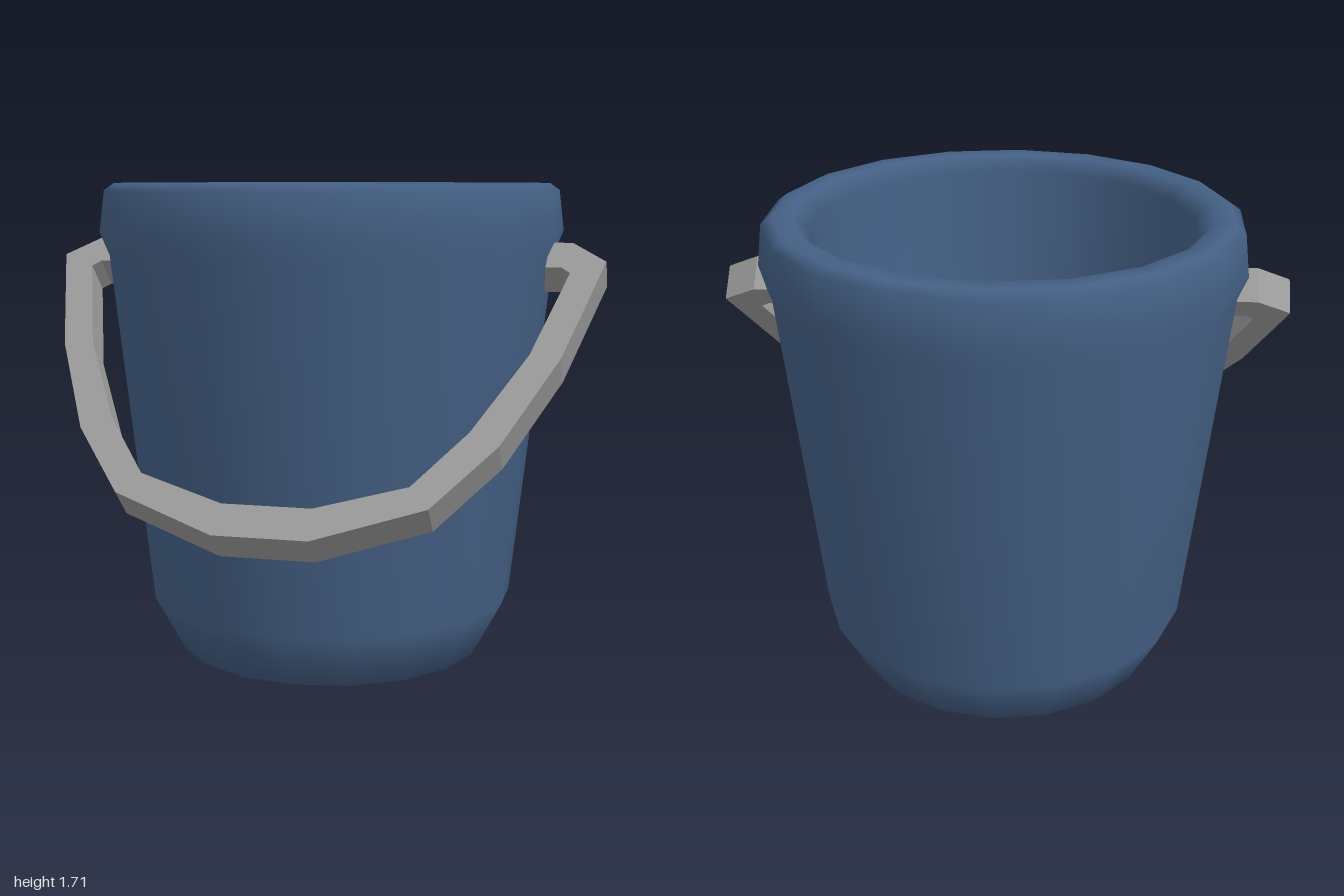
import * as THREE from 'three';

export function createModel() {
  const group = new THREE.Group();
  const blue = new THREE.MeshStandardMaterial({ color: 0x446085 });
  blue.name = 'bucketBlue';
  const grey = new THREE.MeshStandardMaterial({ color: 0x9a9a9a });
  grey.name = 'handleGrey';

  // Bucket: underside, outer wall, rolled rim, inner wall and floor in one profile
  const profile = [
    [0, 0], [0.565, 0], [0.672, 0.2], [0.81, 1.46], [0.843, 1.54],
    [0.825, 1.685], [0.79, 1.71], [0.72, 1.71], [0.665, 1.66],
    [0.55, 0.2], [0.46, 0.1], [0, 0.1],
  ].map(([r, y]) => new THREE.Vector2(r, y));
  const bucket = new THREE.Mesh(new THREE.LatheGeometry(profile, 18), blue);
  bucket.name = 'bucket';
  bucket.position.z = -0.05;
  group.add(bucket);

  // Handle: flat bow outline, right half of each edge as [x, distance from pivot]
  const outer = [[0.74, 0], [0.88, 0], [1, 0.085], [0.88, 0.51], [0.715, 0.87], [0.52, 1.12], [0.16, 1.26]];
  const inner = [[0.15, 1.14], [0.45, 1.04], [0.615, 0.82], [0.775, 0.5], [0.88, 0.14], [0.85, 0.115], [0.74, 0.115]];
  const mirror = (pts) => pts.map(([x, u]) => [-x, u]).reverse();
  const outline = [...outer, ...mirror(outer), ...mirror(inner), ...inner]
    .map(([x, u]) => new THREE.Vector2(x, -u));
  const bow = new THREE.ExtrudeGeometry(new THREE.Shape(outline), { depth: 0.13, bevelEnabled: false });
  bow.translate(0, 0, -0.13);
  const handle = new THREE.Mesh(bow, grey);
  handle.name = 'handle';
  handle.rotation.x = -Math.PI / 4; // hangs forward and down
  handle.position.y = 1.505;
  group.add(handle);

  return group;
}
